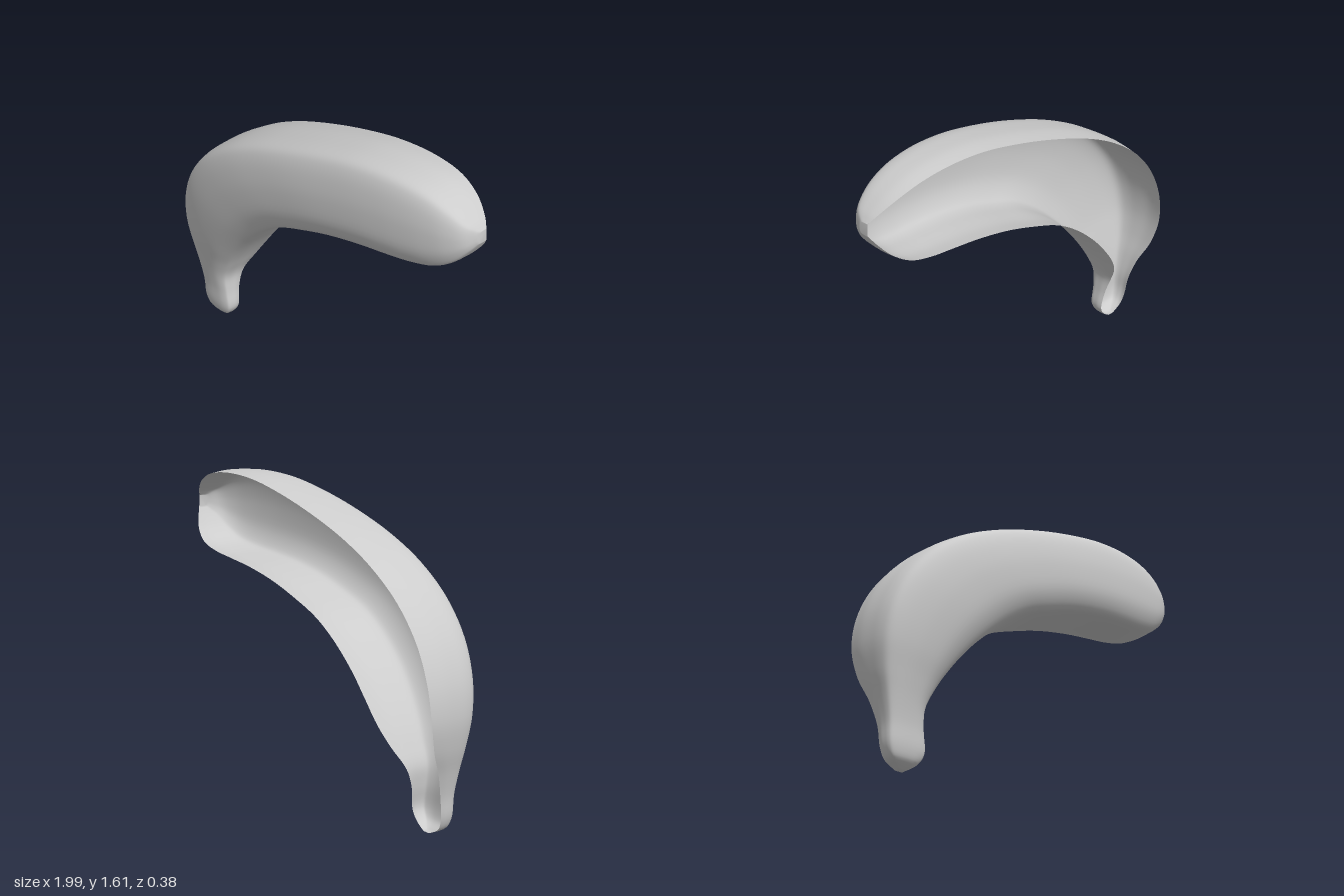
import * as THREE from 'three';

// Stations from stem to blossom tip: outer edge x,y | inner edge x,y | front z, back z
const STATIONS = [
  [-0.82, 0.00, -0.78, 0.00, -0.005, -0.03],
  [-0.885, 0.035, -0.73, 0.035, 0.04, -0.03],
  [-0.91, 0.09, -0.70, 0.09, 0.055, -0.035],
  [-0.92, 0.20, -0.71, 0.20, 0.06, -0.05],
  [-0.945, 0.32, -0.71, 0.30, 0.075, -0.085],
  [-0.98, 0.45, -0.66, 0.41, 0.10, -0.145],
  [-1.00, 0.60, -0.60, 0.51, 0.13, -0.18],
  [-0.98, 0.77, -0.52, 0.62, 0.155, -0.19],
  [-0.905, 0.95, -0.42, 0.735, 0.175, -0.19],
  [-0.77, 1.12, -0.28, 0.86, 0.187, -0.19],
  [-0.58, 1.265, -0.14, 0.95, 0.192, -0.19],
  [-0.37, 1.375, 0.02, 1.015, 0.19, -0.19],
  [-0.12, 1.47, 0.20, 1.075, 0.183, -0.19],
  [0.13, 1.545, 0.40, 1.12, 0.168, -0.19],
  [0.36, 1.595, 0.57, 1.145, 0.15, -0.19],
  [0.58, 1.61, 0.70, 1.165, 0.127, -0.19],
  [0.75, 1.59, 0.82, 1.20, 0.097, -0.183],
  [0.87, 1.54, 0.905, 1.26, 0.062, -0.16],
  [0.95, 1.48, 0.96, 1.33, 0.015, -0.125],
  [0.985, 1.44, 0.99, 1.38, -0.05, -0.10],
];

// Open cross-section: across (1 = outer edge, -1 = inner edge), depth (0 = back rim, 1 = front)
const SECTION = [
  [0.95, 0], [1, 0.25], [0.99, 0.5], [0.96, 0.7], [0.88, 0.85], [0.7, 0.93], [0.4, 0.98], [0, 1],
  [-0.5, 0.97], [-0.85, 0.86], [-0.96, 0.73], [-0.99, 0.5], [-1, 0.25], [-0.95, 0],
];

// Sweeps the section along the two edge curves
function peelGeometry(lengthSteps, aroundSteps) {
  const outer = new THREE.CatmullRomCurve3(STATIONS.map((s) => new THREE.Vector3(s[0], s[1], s[4])));
  const inner = new THREE.CatmullRomCurve3(STATIONS.map((s) => new THREE.Vector3(s[2], s[3], s[5])));
  const section = new THREE.SplineCurve(SECTION.map(([u, v]) => new THREE.Vector2(u, v)));
  const ring = section.getPoints(aroundSteps);
  const positions = [];
  const indices = [];
  for (let i = 0; i <= lengthSteps; i++) {
    const o = outer.getPoint(i / lengthSteps);
    const n = inner.getPoint(i / lengthSteps);
    for (const p of ring) {
      const k = (p.x + 1) / 2;
      positions.push(
        n.x + (o.x - n.x) * k,
        n.y + (o.y - n.y) * k,
        n.z + (o.z - n.z) * p.y,
      );
    }
  }
  const row = aroundSteps + 1;
  for (let i = 0; i < lengthSteps; i++) {
    for (let j = 0; j < aroundSteps; j++) {
      const a = i * row + j;
      const b = a + row;
      indices.push(a, a + 1, b, b, a + 1, b + 1);
    }
  }
  // Small fans close the stem end and the blossom tip
  for (let j = 1; j < aroundSteps; j++) {
    const end = lengthSteps * row;
    indices.push(0, j + 1, j, end, end + j, end + j + 1);
  }
  const geometry = new THREE.BufferGeometry();
  geometry.setAttribute('position', new THREE.Float32BufferAttribute(positions, 3));
  geometry.setIndex(indices);
  geometry.computeVertexNormals();
  return geometry;
}

export function createModel() {
  const group = new THREE.Group();
  group.name = 'banana';
  const grey = new THREE.MeshStandardMaterial({ color: 0xcccccc, side: THREE.DoubleSide });
  grey.name = 'light grey';

  // Hollow peel, open along the back
  const peel = new THREE.Mesh(peelGeometry(95, 52), grey);
  peel.name = 'peel';
  group.add(peel);
  return group;
}
